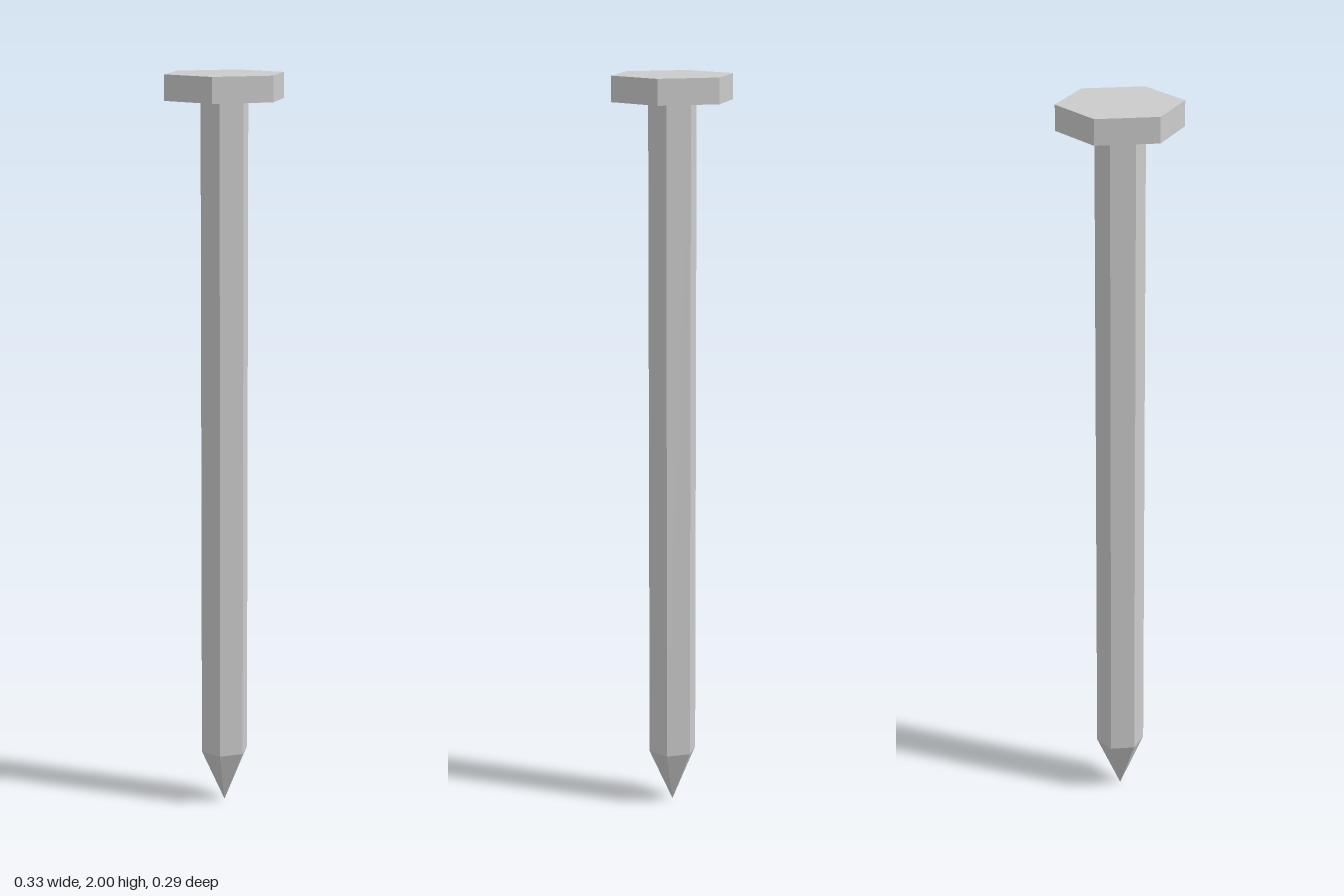
import * as THREE from 'three';

const SIDES = 6;

export function createModel() {
  const nail = new THREE.Group();
  nail.name = 'nail';
  const material = new THREE.MeshStandardMaterial({ color: 0xcccccc, flatShading: true });

  // Six-sided section between two heights, with corners on the x axis
  function addSection(name, topRadius, bottomRadius, bottom, top, open) {
    const geometry = new THREE.CylinderGeometry(
      topRadius, bottomRadius, top - bottom, SIDES, 1, open, Math.PI / 2);
    const mesh = new THREE.Mesh(geometry, material);
    mesh.name = name;
    mesh.position.y = (top + bottom) / 2;
    nail.add(mesh);
  }

  addSection('head', 0.166, 0.166, 1.932, 2, false);
  // Shaft and point share their rim, so neither needs caps
  addSection('shaft', 0.066, 0.066, 0.146, 1.932, true);
  addSection('point', 0.066, 0, 0, 0.146, true);

  return nail;
}
